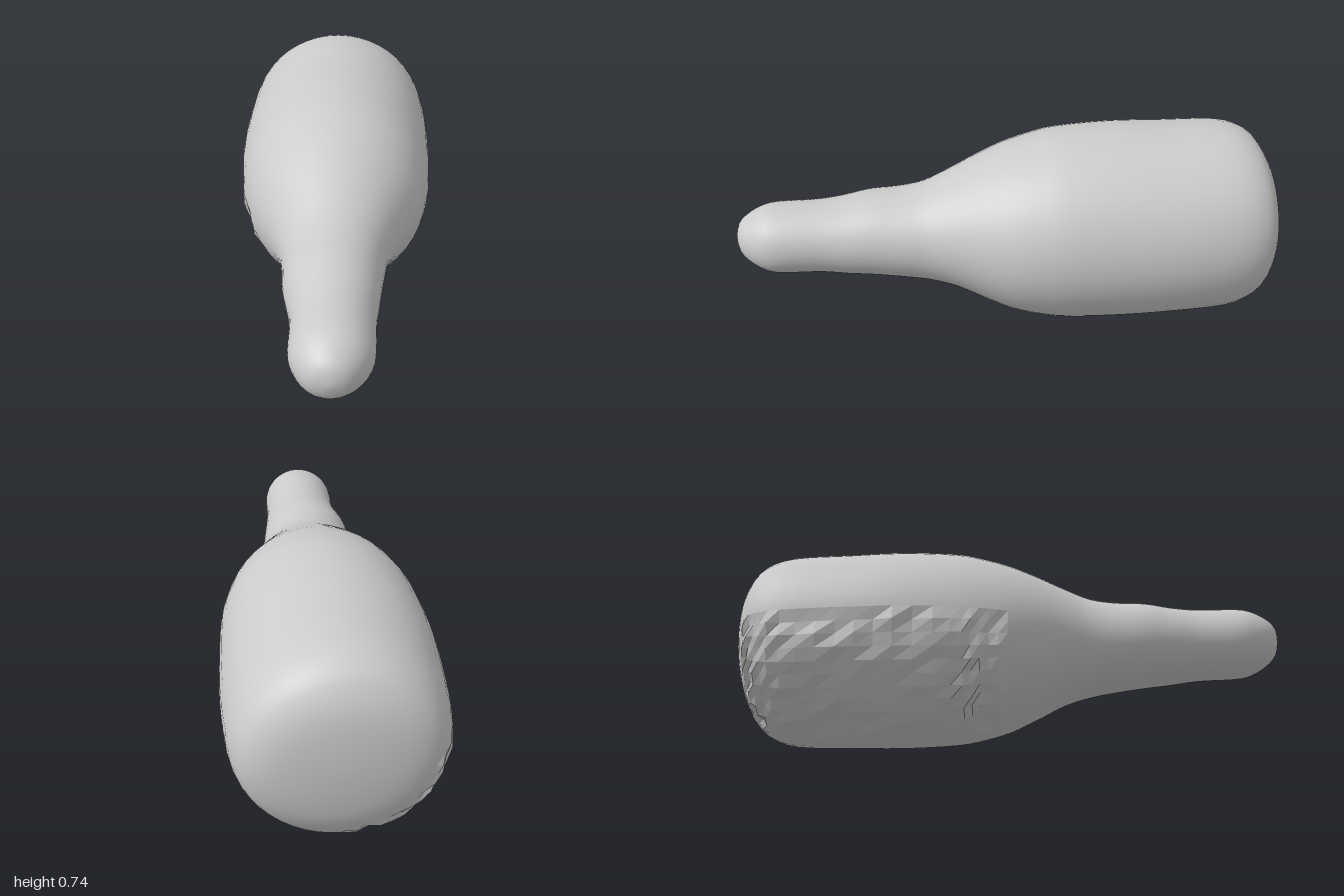
import * as THREE from 'three';

// Cross-sections from neck tip to base: z, centre x, centre y, half width, half height
const SECTIONS = [
  [1, -0.01, 0.38, 0, 0], [0.985, -0.01, 0.38, 0.055, 0.055], [0.95, -0.01, 0.377, 0.095, 0.09],
  [0.9, -0.006, 0.376, 0.125, 0.118], [0.84, -0.005, 0.375, 0.14, 0.13], [0.7, -0.003, 0.373, 0.142, 0.133],
  [0.6, -0.005, 0.37, 0.155, 0.144], [0.5, -0.008, 0.372, 0.17, 0.158], [0.4, -0.005, 0.368, 0.18, 0.167],
  [0.3, -0.004, 0.367, 0.195, 0.184], [0.2, -0.004, 0.373, 0.232, 0.22], [0.1, -0.004, 0.371, 0.28, 0.268],
  [0, -0.002, 0.369, 0.323, 0.312], [-0.1, -0.002, 0.369, 0.349, 0.341], [-0.2, -0.002, 0.37, 0.364, 0.36],
  [-0.4, -0.004, 0.369, 0.376, 0.368], [-0.6, 0, 0.369, 0.375, 0.363], [-0.8, 0.002, 0.37, 0.361, 0.358],
  [-0.9, 0.002, 0.372, 0.332, 0.325], [-0.95, 0.003, 0.374, 0.287, 0.268],
  [-0.98, 0.002, 0.377, 0.215, 0.198], [-0.995, 0.001, 0.379, 0.11, 0.1], [-1, 0, 0.38, 0, 0],
];
const SIDES = 48;
const SUB = 3;
const ROWS = (SECTIONS.length - 1) * SUB;

// Extent of the faceted patch: one lower quarter of the wide body
const PATCH = { row0: 12 * SUB, row1: 19 * SUB, side0: SIDES / 2, side1: SIDES * 0.75 };

function seeded(seed) {
  return () => {
    seed = (seed * 16807) % 2147483647;
    return seed / 2147483647;
  };
}

// Smoothly interpolated rings of points
function makeRings() {
  const sizes = new THREE.CatmullRomCurve3(
    SECTIONS.map(([z, , , rx, ry]) => new THREE.Vector3(rx, ry, z)), false, 'catmullrom', 0.5);
  const centres = new THREE.CatmullRomCurve3(
    SECTIONS.map(([z, cx, cy]) => new THREE.Vector3(cx, cy, z)), false, 'catmullrom', 0.5);
  const rings = [];
  for (let i = 0; i <= ROWS; i++) {
    const s = sizes.getPoint(i / ROWS);
    const c = centres.getPoint(i / ROWS);
    const ring = [];
    for (let j = 0; j < SIDES; j++) {
      const a = (j / SIDES) * Math.PI * 2;
      ring.push(new THREE.Vector3(c.x + s.x * Math.cos(a), c.y + s.y * Math.sin(a), s.z));
    }
    rings.push(ring);
  }
  return rings;
}

const inPatch = (i, j) => i >= PATCH.row0 && i < PATCH.row1 && j >= PATCH.side0 && j < PATCH.side1;

// Triangles of every grid cell that passes the test
function cells(test) {
  const index = [];
  for (let i = 0; i < ROWS; i++) {
    for (let j = 0; j < SIDES; j++) {
      if (!test(i, j)) continue;
      const k = (j + 1) % SIDES;
      const a = i * SIDES + j, b = i * SIDES + k;
      const c = a + SIDES, d = b + SIDES;
      if (i < ROWS - 1) index.push(a, c, d);
      if (i > 0) index.push(a, d, b);
      if (i === ROWS - 1) continue;
      if (i === 0) continue;
    }
  }
  return index;
}

function gridGeometry(rings, index) {
  const geometry = new THREE.BufferGeometry().setFromPoints(rings.flat());
  geometry.setIndex(index);
  geometry.computeVertexNormals();
  return geometry;
}

export function createModel() {
  const group = new THREE.Group();
  group.name = 'bottle';
  const rings = makeRings();

  // Smooth bottle shell; normals come from the whole shell so the patch border stays smooth
  const shell = gridGeometry(rings, cells(() => true));
  const normals = shell.attributes.normal;
  for (let j = 0; j < SIDES; j++) {
    normals.setXYZ(j, 0, 0, 1);
    normals.setXYZ(ROWS * SIDES + j, 0, 0, -1);
  }
  shell.setIndex(cells((i, j) => !inPatch(i, j)));
  const body = new THREE.Mesh(shell, new THREE.MeshStandardMaterial({ color: 0xcccccc }));
  body.name = 'bottleBody';
  group.add(body);

  // Rough patch: inner points nudged off the shell, then flat shaded
  const random = seeded(41);
  const rough = rings.map((ring, i) => ring.map((p, j) => {
    const inner = inPatch(i, j) && i > PATCH.row0 && j > PATCH.side0;
    if (!inner) return p;
    const n = new THREE.Vector3().fromBufferAttribute(normals, i * SIDES + j);
    return p.clone().addScaledVector(n, (random() - 0.6) * 0.018);
  }));
  const patch = new THREE.Mesh(
    gridGeometry(rough, cells(inPatch)).toNonIndexed(),
    new THREE.MeshStandardMaterial({ color: 0xcccccc, flatShading: true, side: THREE.DoubleSide }));
  patch.geometry.computeVertexNormals();
  patch.name = 'roughPatch';
  group.add(patch);

  return group;
}
